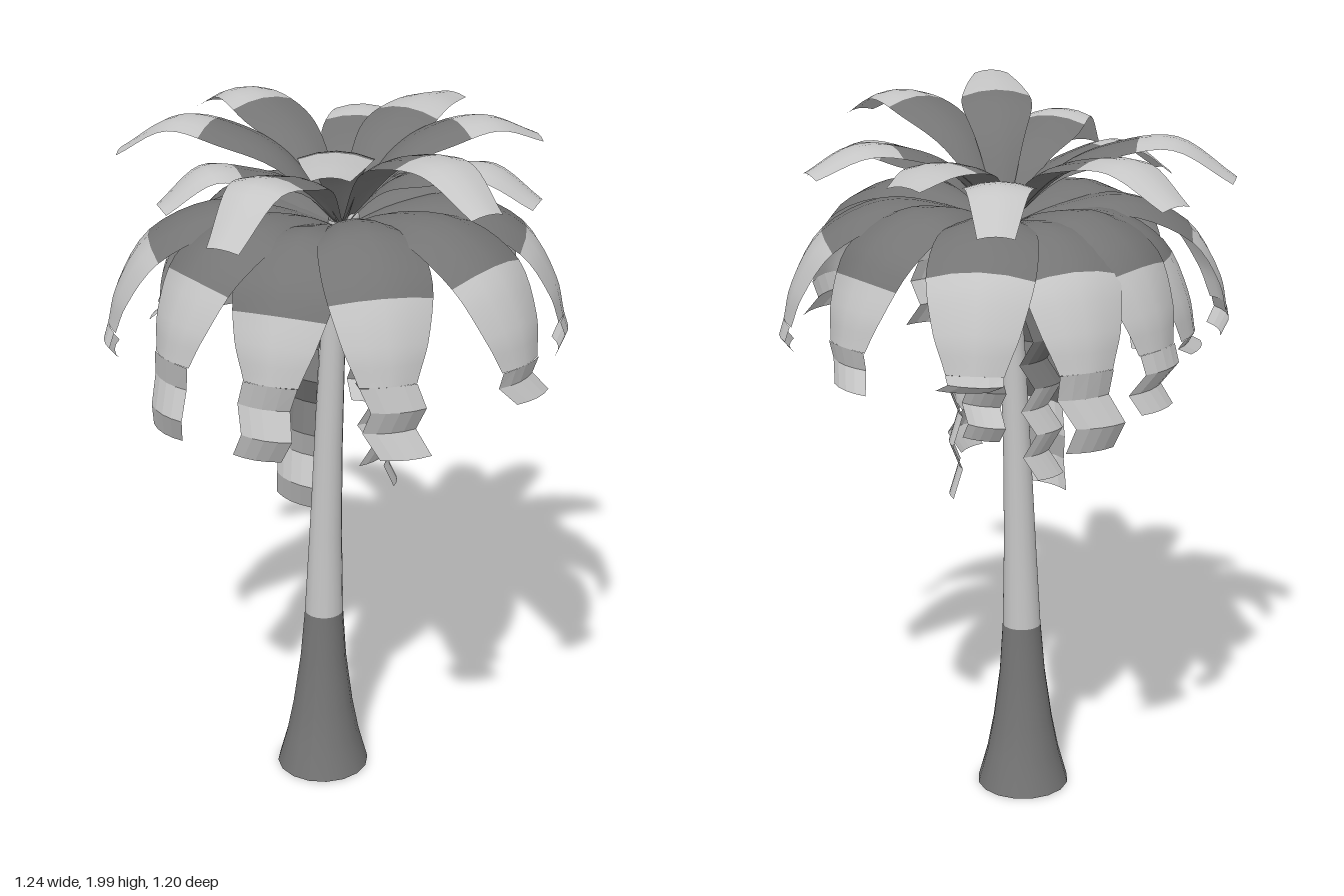
import * as THREE from 'three';

const CX = 0.01, CZ = 0.03; // crown centre

// Strip of leaf from rows of {r, y, w, nr, ny, s}: radius, height, width, normal, sideways sway
function strip(rows, angle, arch) {
  const cols = 4, pos = [], idx = [];
  const dx = Math.sin(angle), dz = Math.cos(angle);
  rows.forEach((p, i) => {
    for (let j = 0; j <= cols; j++) {
      const u = (j / cols - 0.5) * 2;
      const drop = arch * p.w * u * u;
      const r = p.r - p.nr * drop, y = p.y - p.ny * drop;
      const s = p.s + u * p.w / 2;
      pos.push(CX + dx * r + dz * s, y, CZ + dz * r - dx * s);
      if (i < rows.length - 1 && j < cols) {
        const a = i * (cols + 1) + j, b = a + cols + 1;
        idx.push(a, b, a + 1, b, b + 1, a + 1);
      }
    }
  });
  const g = new THREE.BufferGeometry();
  g.setAttribute('position', new THREE.Float32BufferAttribute(pos, 3));
  g.setIndex(idx);
  g.computeVertexNormals();
  return g;
}

// Samples a spline of [radius, height, width] points
function sample(points, n) {
  const curve = new THREE.CatmullRomCurve3(points.map(p => new THREE.Vector3(...p)));
  const rows = [];
  for (let i = 0; i <= n; i++) {
    const p = curve.getPoint(i / n), t = curve.getTangent(i / n);
    const l = Math.hypot(t.x, t.y) || 1;
    rows.push({ r: p.x, y: p.y, w: p.z, nr: -t.y / l, ny: t.x / l, s: 0 });
  }
  return rows;
}

export function createModel() {
  const dark = new THREE.MeshStandardMaterial({ color: 0x757575, side: THREE.DoubleSide });
  dark.name = 'dark grey';
  const light = new THREE.MeshStandardMaterial({ color: 0xc6c6c6, side: THREE.DoubleSide });
  light.name = 'light grey';
  const model = new THREE.Group();
  model.name = 'palmTree';

  const add = (parent, name, geometry, material) => {
    const m = new THREE.Mesh(geometry, material);
    m.name = name;
    parent.add(m);
  };

  // Frond with a dark base, a light end and an optional crumpled strand down to a lowest height
  function frond(name, angle, points, split, arch, strand) {
    const g = new THREE.Group();
    g.name = name;
    const n = 20, rows = sample(points, n), k = Math.round(n * split);
    add(g, 'frondBase', strip(rows.slice(0, k + 1), angle, arch), dark);
    if (k < n) add(g, 'frondEnd', strip(rows.slice(k), angle, arch), light);
    if (strand) {
      const last = rows[n], folds = [last];
      for (let i = 1; i <= strand.steps; i++) {
        const z = (i % 2 ? 1 : -1) * strand.turn, t = i / strand.steps;
        folds.push({
          r: last.r + z * 0.014, y: last.y + (strand.low - last.y) * t,
          w: last.w * (1 - 0.1 * t), nr: 1, ny: 0, s: z * 0.014 + strand.lean * t,
        });
      }
      const cut = strand.darkSteps;
      const fold = (part, list, material) => {
        const geo = strip(list, angle, 0.1).toNonIndexed();
        geo.computeVertexNormals();
        add(g, part, geo, material);
      };
      if (cut) fold('darkStrand', folds.slice(0, cut + 1), dark);
      fold('lightStrand', folds.slice(cut), light);
    }
    model.add(g);
  }

  // Slightly bowed trunk, flared at the foot, open below: [height, radius]
  function trunk(name, profile, material) {
    const geo = new THREE.LatheGeometry(profile.map(([y, r]) => new THREE.Vector2(r, y)), 16);
    const p = geo.attributes.position;
    for (let i = 0; i < p.count; i++) {
      const t = p.getY(i) / 1.7;
      p.setX(i, p.getX(i) - 0.046 + 0.05 * t * t);
      p.setZ(i, p.getZ(i) + 0.04 - 0.01 * t);
    }
    geo.computeVertexNormals();
    add(model, name, geo, material);
  }
  trunk('lowerTrunk', [[0, 0.132], [0.1, 0.105], [0.2, 0.086], [0.35, 0.066], [0.5, 0.055]], dark);
  trunk('upperTrunk', [[0.5, 0.055], [0.75, 0.046], [1, 0.04], [1.3, 0.035], [1.69, 0.03]], light);

  // Buds in the heart of the crown
  for (const [x, z] of [[0.03, 0], [0.01, -0.03]]) {
    const bud = new THREE.SphereGeometry(0.02, 8, 6);
    bud.translate(CX + x, 1.7, CZ + z);
    add(model, 'bud', bud, light);
  }

  // Upper fronds: tip x, tip z, peak height, tip height
  const upper = [
    [-0.615, 0.04, 1.93, 1.83], [-0.51, -0.38, 1.93, 1.85], [-0.08, -0.53, 1.88, 1.79],
    [0.16, -0.51, 1.92, 1.9], [0.46, -0.3, 1.93, 1.87], [0.55, 0.05, 1.88, 1.8],
    [0.51, 0.43, 1.97, 1.89], [0.15, 0.56, 1.985, 1.99], [-0.12, 0.6, 1.91, 1.79],
    [-0.39, 0.33, 1.87, 1.78],
  ];
  upper.forEach(([x, z, peak, tip]) => {
    const R = Math.hypot(x - CX, z - CZ);
    frond('upperFrond', Math.atan2(x - CX, z - CZ), [
      [0.01, 1.68, 0.02], [0.25 * R, 1.68 + (peak - 1.68) * 0.66, 0.13],
      [0.48 * R, peak - 0.02, 0.195], [0.74 * R, peak, 0.16], [R, tip, 0.095],
    ], 0.62, 0.1);
  });

  // Lower fronds: broad arches that droop into narrow crumpled strands
  // angle in degrees, reach, peak height, lowest height, dark share, strand lean
  const lower = [
    [-3, 0.53, 1.74, 1.2, 0.72, -0.03], [30, 0.56, 1.76, 1.24, 0.65, 0.03],
    [67, 0.62, 1.76, 1.34, 0.58, 0.02], [107, 0.6, 1.75, 1.34, 0.62, -0.02],
    [141, 0.55, 1.76, 1.33, 0.68, 0.02], [184, 0.61, 1.76, 1.39, 0.6, -0.02],
    [214, 0.56, 1.74, 1.2, 0.62, 0.03], [241, 0.54, 1.75, 1.27, 0.65, -0.03],
    [266, 0.53, 1.73, 1.36, 0.65, 0.02], [293, 0.63, 1.74, 1.34, 0.62, 0.02],
    [325, 0.57, 1.75, 1.2, 0.65, -0.03],
  ];
  lower.forEach(([deg, R, peak, low, split, lean], i) => {
    frond('lowerFrond', THREE.MathUtils.degToRad(deg), [
      [0.01, 1.67, 0.02], [0.25 * R, peak - 0.02, 0.15], [0.55 * R, peak, 0.26],
      [0.82 * R, peak - 0.08, 0.28], [0.96 * R, peak - 0.22, 0.22], [R, peak - 0.32, 0.15],
    ], split, 0.13, { steps: low < 1.3 ? 3 : 2, low, turn: i % 2 ? 1 : -1, lean, darkSteps: 0 });
  });

  // Dead fronds hanging beside the trunk: angle, reach, lowest height, width, lean, dark folds
  const hanging = [
    [-28, 0.17, 0.89, 0.14, -0.03, 4], [106, 0.14, 0.91, 0.09, 0.01, 3],
    [64, 0.13, 1.01, 0.1, 0.02, 4], [235, 0.15, 0.98, 0.1, 0.02, 3], [170, 0.16, 1.1, 0.11, 0, 4],
  ];
  hanging.forEach(([deg, R, low, w, lean, darkSteps], i) => {
    frond('hangingFrond', THREE.MathUtils.degToRad(deg), [
      [0.02, 1.66, 0.03], [0.09, 1.66, w], [R - 0.02, 1.58, w * 1.1], [R, 1.45, w * 1.1],
    ], 1, 0.1, { steps: 7, low, turn: i % 2 ? 1 : -1, lean, darkSteps });
  });

  return model;
}
